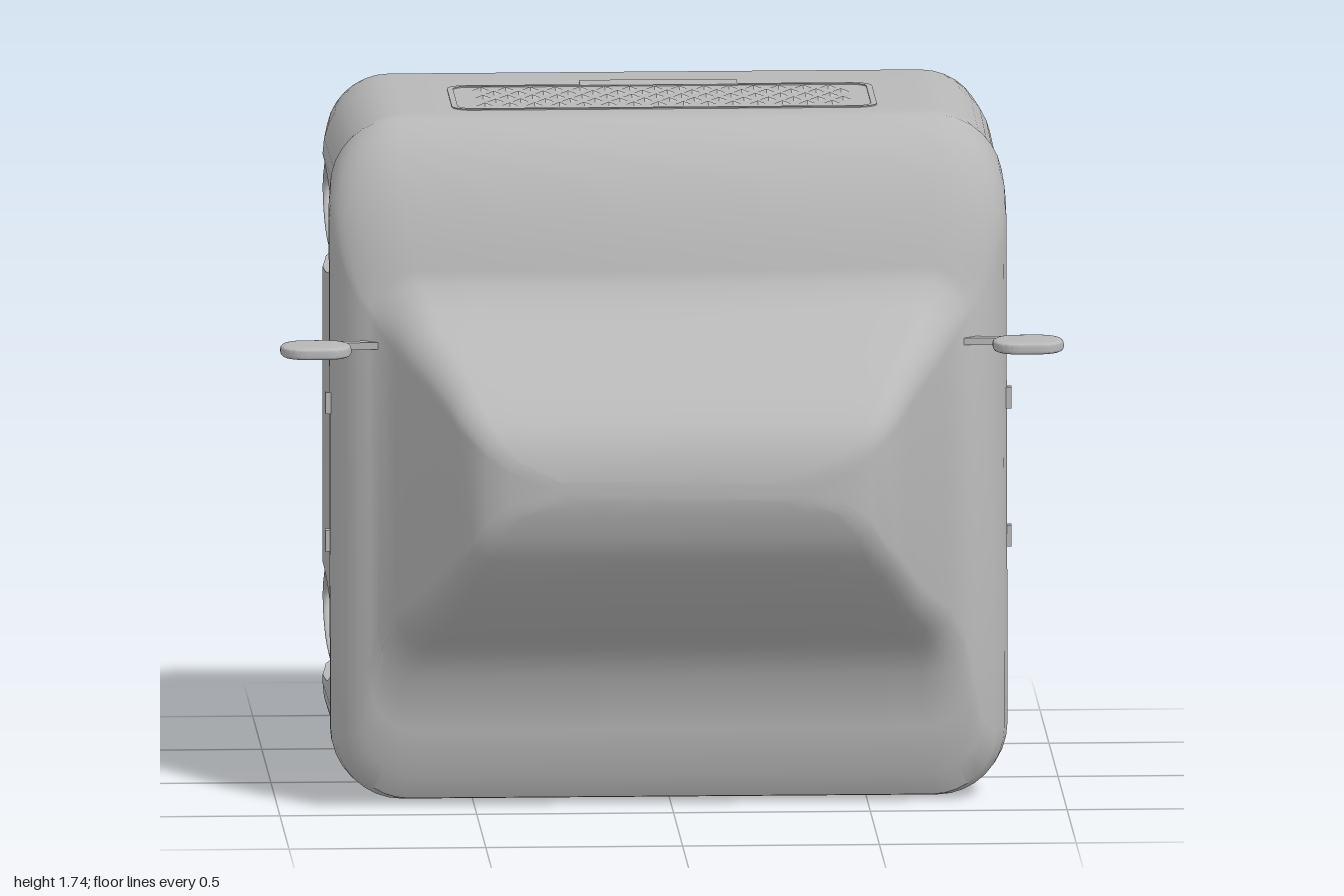
import * as THREE from 'three';
import { mergeGeometries, toCreasedNormals } from 'three/addons/utils/BufferGeometryUtils.js';

const grey = new THREE.MeshStandardMaterial({ color: 0xb8b8b8 });
grey.name = 'plain grey';
const greyThin = grey.clone();
greyThin.side = THREE.DoubleSide;

// Shared wheel layout: the car stands on its tail, so its length runs along y
const WHEEL_Y = [0.36, 1.41], WHEEL_Z = -0.45, ARCH_R = 0.5, SQUASH = 0.29, WELL_X = 0.62;
const FLOOR_Z = -0.63;

function add(parent, name, geo, x = 0, y = 0, z = 0, mat = grey) {
  const m = new THREE.Mesh(geo, mat);
  m.name = name;
  m.position.set(x, y, z);
  parent.add(m);
  return m;
}

// Body sections from floor to roof: z, half width, tail y, nose y, corner radius
const SECTIONS = [
  [-0.63, 0.79, 0.17, 1.60, 0.05], [-0.59, 0.82, 0.08, 1.68, 0.10], [-0.55, 0.835, 0.025, 1.735, 0.16],
  [-0.40, 0.85, 0.012, 1.74, 0.18], [0.10, 0.845, 0.012, 1.74, 0.18], [0.16, 0.855, 0.01, 1.735, 0.18],
  [0.21, 0.86, 0.01, 1.70, 0.18], [0.25, 0.86, 0.01, 1.66, 0.18], [0.29, 0.85, 0.012, 1.60, 0.17],
  [0.33, 0.825, 0.02, 1.52, 0.16], [0.36, 0.79, 0.08, 1.43, 0.14], [0.375, 0.765, 0.2, 1.38, 0.12],
  [0.385, 0.745, 0.34, 1.345, 0.11], [0.45, 0.705, 0.42, 1.29, 0.10], [0.5, 0.68, 0.455, 1.25, 0.09],
  [0.6, 0.63, 0.52, 1.195, 0.08], [0.7, 0.585, 0.60, 1.14, 0.07], [0.75, 0.56, 0.65, 1.10, 0.06],
  [0.80, 0.525, 0.71, 1.06, 0.05], [0.83, 0.49, 0.77, 1.02, 0.04], [0.85, 0.43, 0.83, 0.97, 0.03],
  [0.86, 0.32, 0.87, 0.92, 0.02],
];

function sectionAt(z) {
  let i = 0;
  while (i < SECTIONS.length - 2 && SECTIONS[i + 1][0] < z) i++;
  const a = SECTIONS[i], b = SECTIONS[i + 1];
  const t = (z - a[0]) / (b[0] - a[0]);
  return a.map((v, k) => v + (b[k] - v) * t);
}

// Rounded rectangle with a notch on each side wherever it crosses a wheel arch
function outline(z) {
  const [, hw, y0, y1, r] = sectionAt(z);
  const half = [];
  const q = (z - WHEEL_Z) / ARCH_R;
  const inArch = q < 0.9999;
  const h = inArch ? SQUASH * ARCH_R * Math.sqrt(1 - q * q) : 0;
  const corner = (cy, from) => {
    for (let i = 0; i <= 8; i++) {
      const a = from + (i / 8) * Math.PI / 2;
      half.push([hw - r + r * Math.cos(a), cy + r * Math.sin(a)]);
    }
  };
  for (let i = 1; i < 6; i++) half.push([(hw - r) * i / 6, y0]);
  corner(y0 + r, -Math.PI / 2);
  for (const wy of WHEEL_Y) {
    const lo = THREE.MathUtils.clamp(wy - h, y0 + r, y1 - r);
    const hi = THREE.MathUtils.clamp(wy + h, y0 + r, y1 - r);
    const inner = inArch ? WELL_X : hw;
    half.push([hw, lo], [inner, lo], [inner, hi], [hw, hi]);
  }
  corner(y1 - r, 0);
  for (let i = 5; i > 0; i--) half.push([(hw - r) * i / 6, y1]);
  const left = half.map(([x, y]) => [-x, y]).reverse();
  return [...half, [0, y1], ...left, [0, y0]];
}

function bodyGeometry() {
  const levels = SECTIONS.map(s => s[0]);
  const t0 = Math.asin((FLOOR_Z - WHEEL_Z) / ARCH_R);
  for (let i = 1; i <= 24; i++) levels.push(WHEEL_Z + ARCH_R * Math.sin(t0 + (Math.PI / 2 - t0) * i / 24));
  levels.sort((a, b) => a - b);
  const rings = levels.map(outline), n = rings[0].length;
  const pos = [], index = [];
  rings.forEach((ring, k) => {
    const z = levels[k];
    // Crown of the bonnet: its sides fall away from the middle
    const w = THREE.MathUtils.smoothstep(z, 0.05, 0.16) * (1 - THREE.MathUtils.smoothstep(z, 0.39, 0.55));
    for (const [x, y] of ring) {
      pos.push(x, y, z - 0.06 * w * (x / 0.86) ** 2 * THREE.MathUtils.smoothstep(y, 1.1, 1.35));
    }
  });
  for (let k = 0; k < rings.length - 1; k++) {
    for (let i = 0; i < n; i++) {
      const a = k * n + i, b = k * n + (i + 1) % n;
      index.push(a, b, b + n, a, b + n, a + n);
    }
  }
  // Floor and roof caps
  const cap = (ring, base, flip) => {
    const pts = ring.map(p => new THREE.Vector2(p[0], p[1]));
    for (const [a, b, c] of THREE.ShapeUtils.triangulateShape(pts, [])) {
      if (flip) index.push(base + a, base + c, base + b);
      else index.push(base + a, base + b, base + c);
    }
  };
  cap(rings[0], 0, true);
  cap(rings[rings.length - 1], (rings.length - 1) * n, false);
  const g = new THREE.BufferGeometry();
  g.setAttribute('position', new THREE.Float32BufferAttribute(pos, 3));
  g.setIndex(index);
  return toCreasedNormals(g, 0.7);
}

// Round wheel facing +x, later squashed along y
function makeWheel() {
  const wheel = new THREE.Group();
  const face = new THREE.Group();
  face.rotation.y = Math.PI / 2;
  wheel.add(face);
  const profile = [[0, -0.1], [0.36, -0.1], [0.4, -0.085], [0.41, -0.05], [0.41, 0.07], [0.395, 0.09],
    [0.35, 0.1], [0.3, 0.097], [0.285, 0.085], [0.28, 0.02], [0, 0.02]].map(p => new THREE.Vector2(...p));
  add(face, 'tyre', toCreasedNormals(new THREE.LatheGeometry(profile, 56).rotateX(Math.PI / 2), 0.6));
  add(face, 'rimLip', new THREE.TorusGeometry(0.295, 0.012, 8, 56), 0, 0, 0.092);
  const spokes = [];
  for (let i = 0; i < 10; i++) {
    spokes.push(new THREE.BoxGeometry(0.22, 0.06, 0.05).translate(0.18, 0, 0.055).rotateZ(i * Math.PI / 5));
  }
  add(face, 'spokes', mergeGeometries(spokes));
  add(face, 'hub', new THREE.CylinderGeometry(0.075, 0.09, 0.07, 28).rotateX(Math.PI / 2), 0, 0, 0.055);
  // Open inner lip of the wheel arch
  add(face, 'archLiner', new THREE.RingGeometry(0.46, ARCH_R, 48, 1, 1.2, 2 * Math.PI - 2.4), 0, 0, 0.08, greyThin);
  return wheel;
}

function roundedRect(w, h, r, Type = THREE.Shape) {
  const s = new Type();
  s.absarc(w / 2 - r, h / 2 - r, r, 0, Math.PI / 2);
  s.absarc(r - w / 2, h / 2 - r, r, Math.PI / 2, Math.PI);
  s.absarc(r - w / 2, r - h / 2, r, Math.PI, Math.PI * 1.5);
  s.absarc(w / 2 - r, r - h / 2, r, Math.PI * 1.5, Math.PI * 2);
  s.closePath();
  return s;
}

export function createModel() {
  const car = new THREE.Group();
  car.name = 'car';
  add(car, 'body', bodyGeometry());

  for (const side of [1, -1]) {
    for (const y of WHEEL_Y) {
      const wheel = makeWheel();
      wheel.name = (side > 0 ? 'left' : 'right') + (y > 1 ? 'Front' : 'Rear') + 'Wheel';
      wheel.position.set(side * 0.73, y, WHEEL_Z);
      wheel.rotation.z = side > 0 ? 0 : Math.PI;
      wheel.scale.y = 0.13 / 0.41;
      car.add(wheel);
      // Thin lips under the floor beside each wheel
      for (const d of [-0.13, 0.13]) {
        const lip = add(car, 'floorLip', new THREE.BoxGeometry(0.46, 0.008, 0.02), side * 0.38, y + d, -0.635);
        lip.rotation.y = side * 0.03;
      }
    }
    // Door mirrors
    const mirror = new THREE.Group();
    mirror.name = side > 0 ? 'leftMirror' : 'rightMirror';
    car.add(mirror);
    const shell = new THREE.ExtrudeGeometry(roundedRect(0.15, 0.12, 0.05), {
      depth: 0.008, bevelSize: 0.015, bevelThickness: 0.011, bevelSegments: 4, curveSegments: 8 });
    add(mirror, 'mirrorShell', toCreasedNormals(shell.translate(0, 0, -0.004).rotateX(-Math.PI / 2), 0.8),
      side * 0.905, 1.19, 0.415);
    add(mirror, 'mirrorStem', new THREE.BoxGeometry(0.12, 0.018, 0.03), side * 0.78, 1.19, 0.347);
    // Door handles
    for (const y of [0.665, 1.02]) add(car, 'doorHandle', new THREE.BoxGeometry(0.03, 0.055, 0.025), side * 0.857, y, 0.21);
    // Rear reflectors
    add(car, 'rearReflector', new THREE.BoxGeometry(0.2, 0.008, 0.06), side * 0.55, 0.01, -0.41);
  }

  // Grille on the nose: frame, number plate and staggered studs
  const frame = roundedRect(1.08, 0.36, 0.05);
  frame.holes.push(roundedRect(1.05, 0.33, 0.04, THREE.Path));
  add(car, 'grilleFrame', new THREE.ExtrudeGeometry(frame, { depth: 0.004, bevelEnabled: false }).rotateX(-Math.PI / 2),
    0, 1.739, -0.14);
  add(car, 'numberPlate', new THREE.BoxGeometry(0.4, 0.006, 0.07), 0, 1.74, -0.35);
  const studs = [];
  for (let row = 0; row < 5; row++) {
    for (let i = 0; i < 15; i++) {
      const stud = new THREE.ConeGeometry(0.026, 0.01, 4).toNonIndexed();
      studs.push(stud.translate(-0.455 + i * 0.063 + (row % 2) * 0.03, 0, -0.26 + row * 0.058));
    }
  }
  const studGeo = mergeGeometries(studs);
  studGeo.computeVertexNormals();
  add(car, 'grilleStuds', studGeo, 0, 1.743, 0);
  return car;
}
